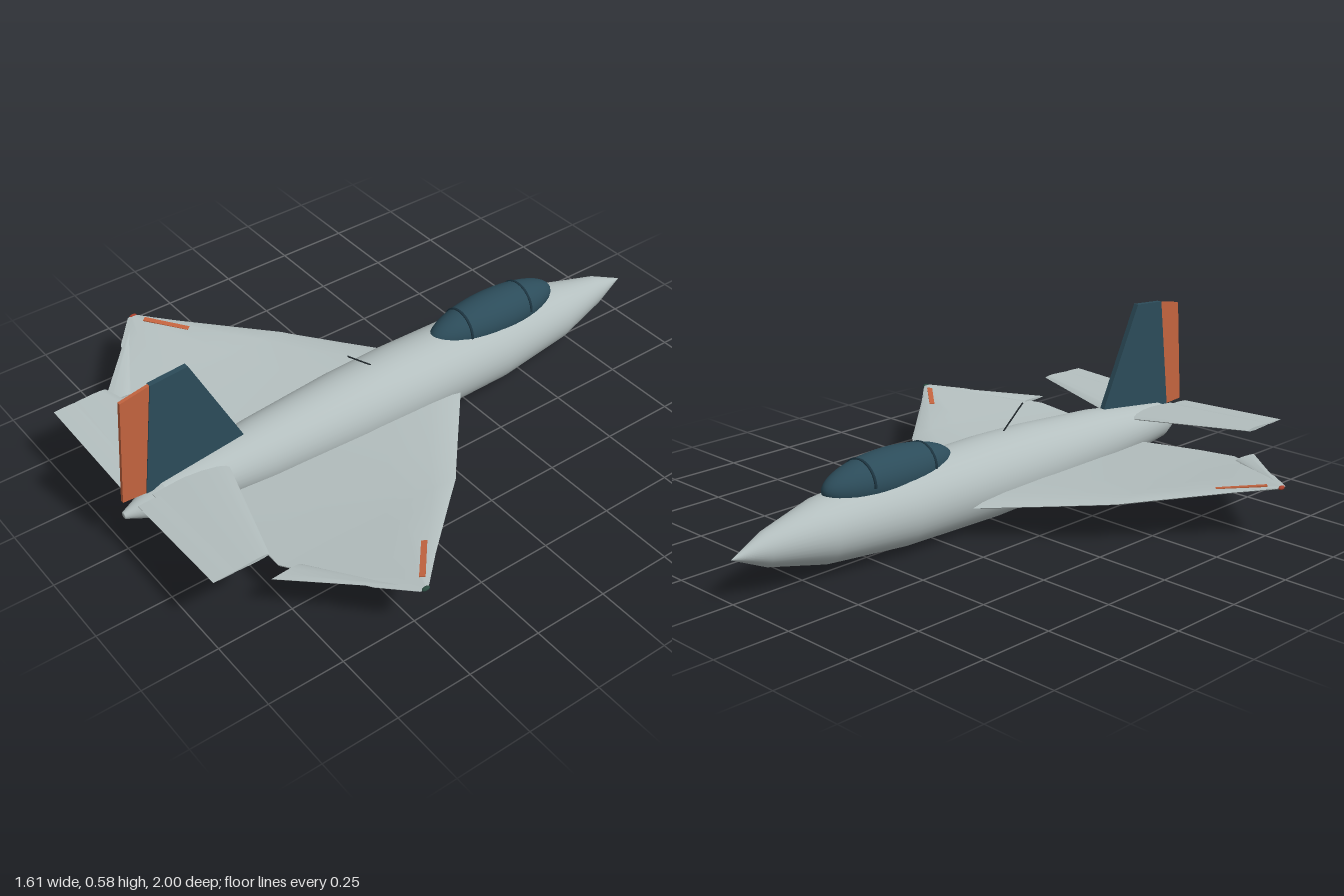
import * as THREE from 'three';
import { toCreasedNormals } from 'three/addons/utils/BufferGeometryUtils.js';

const paint = (color) => new THREE.MeshStandardMaterial({ color });
const hull = paint(0xb4bfbf), navy = paint(0x2c4c5a), orange = paint(0xc4643f), dark = paint(0x20272b);
const AXIS_Y = 0.135;

// Closed aerofoil outline: [fraction of chord, fraction of half thickness]
const AEROFOIL = [[0, 0], [0.04, 0.5], [0.15, 0.9], [0.35, 1], [0.7, 0.65], [1, 0.12],
  [1, -0.12], [0.7, -0.65], [0.35, -1], [0.15, -0.9], [0.04, -0.5]];

// Lofts the aerofoil through stations [x, zLeading, zTrailing, y, thickness]
function loft(stations, side) {
  const n = AEROFOIL.length, pos = [], idx = [];
  const tri = (a, b, c) => (side > 0 ? idx.push(a, b, c) : idx.push(a, c, b));
  for (const [x, z0, z1, y, t] of stations)
    for (const [c, h] of AEROFOIL) pos.push(side * x, y + h * t / 2, z0 + (z1 - z0) * c);
  for (let s = 0; s < stations.length - 1; s++)
    for (let i = 0; i < n; i++) {
      const a = s * n + i, b = s * n + (i + 1) % n;
      tri(a, b, a + n);
      tri(b, b + n, a + n);
    }
  const last = (stations.length - 1) * n;
  for (let i = 1; i < n - 1; i++) {
    tri(0, i + 1, i);
    tri(last, last + i, last + i + 1);
  }
  const g = new THREE.BufferGeometry();
  g.setAttribute('position', new THREE.Float32BufferAttribute(pos, 3));
  g.setIndex(idx);
  return toCreasedNormals(g, 0.6);
}

// Body along z from rings [radius, z, width factor]
function body(rings) {
  const g = new THREE.LatheGeometry(rings.map(([r, z]) => new THREE.Vector2(r, z)), 40)
    .rotateX(Math.PI / 2).translate(0, AXIS_Y, 0);
  const p = g.attributes.position;
  for (let i = 0; i < p.count; i++) p.setX(i, p.getX(i) * rings[i % rings.length][2]);
  return g;
}

// Upright plate from a (z, y) outline, centred on x = 0
function plate(points, thickness) {
  const shape = new THREE.Shape(points.map(([z, y]) => new THREE.Vector2(z, y)));
  return new THREE.ExtrudeGeometry(shape, { depth: thickness, bevelEnabled: false })
    .rotateY(-Math.PI / 2).translate(thickness / 2, 0, 0);
}

// Thin rod between two points
function rod(a, b, r) {
  return new THREE.TubeGeometry(new THREE.LineCurve3(new THREE.Vector3(...a), new THREE.Vector3(...b)), 1, r, 8);
}

export function createModel() {
  const model = new THREE.Group();
  const add = (name, geometry, material) => {
    const mesh = new THREE.Mesh(geometry, material);
    mesh.name = name;
    model.add(mesh);
    return mesh;
  };

  // Fuselage with the nose at -z, and tail cone
  add('fuselage', body([[0, -1, 1], [0.055, -0.88, 0.75], [0.102, -0.68, 0.95], [0.126, -0.39, 1.06],
    [0.135, 0, 1], [0.13, 0.2, 1], [0.108, 0.53, 1], [0.065, 0.87, 1]]), hull);
  add('tailCone', body([[0.065, 0.87, 1], [0.011, 1, 1], [0, 1, 1]]), hull);

  // Canopy with two frame hoops
  const canopy = { y: 0.245, z: -0.405, rx: 0.082, ry: 0.082, rz: 0.256 };
  add('canopy', new THREE.SphereGeometry(1, 40, 24).scale(canopy.rx, canopy.ry, canopy.rz)
    .translate(0, canopy.y, canopy.z), navy);
  for (const z of [-0.52, -0.27]) {
    const k = Math.sqrt(1 - ((z - canopy.z) / canopy.rz) ** 2);
    add('canopyFrame', new THREE.TorusGeometry(1, 0.05, 8, 32, Math.PI)
      .scale(canopy.rx * k, canopy.ry * k, 0.1).translate(0, canopy.y, z), paint(0x1c3440));
  }

  // Fin and rudder
  add('fin', plate([[0.57, 0.2], [0.922, 0.185], [0.872, 0.567], [0.745, 0.577], [0.58, 0.24]], 0.018), navy);
  add('rudder', plate([[0.92, 0.185], [1, 0.19], [0.97, 0.547], [0.87, 0.566]], 0.012), orange);

  // Mast aerial on the spine
  add('aerial', rod([0, 0.26, 0.085], [0, 0.343, 0.182], 0.0025), dark);

  for (const side of [1, -1]) {
    // Swept main wing with upturned tip
    add('wing', loft([
      [0.04, -0.255, 0.7, 0.102, 0.046], [0.13, -0.175, 0.72, 0.106, 0.042],
      [0.3, -0.025, 0.745, 0.117, 0.036], [0.44, 0.098, 0.75, 0.127, 0.03],
      [0.466, 0.12, 0.735, 0.13, 0.029], [0.52, 0.182, 0.7, 0.137, 0.025],
      [0.7, 0.385, 0.605, 0.16, 0.014], [0.8, 0.49, 0.52, 0.172, 0.008]], side), hull);

    // Aileron behind the outer trailing edge
    add('aileron', loft([[0.48, 0.7, 0.8, 0.135, 0.01], [0.7, 0.57, 0.597, 0.16, 0.006],
      [0.79, 0.505, 0.52, 0.171, 0.004]], side), hull);

    // Tailplane and elevator
    add('tailplane', loft([[0.03, 0.66, 0.915, 0.193, 0.022], [0.07, 0.67, 0.915, 0.195, 0.021],
      [0.46, 0.79, 0.915, 0.213, 0.011]], side), hull);
    add('elevator', loft([[0.05, 0.895, 0.975, 0.194, 0.008], [0.46, 0.895, 0.975, 0.213, 0.005]], side), hull);

    // Wing stripe and tip light
    const stripe = add('wingStripe', new THREE.BoxGeometry(0.158, 0.004, 0.018), orange);
    stripe.position.set(side * 0.7, 0.167, 0.43);
    stripe.rotation.set(0, -side * 0.7, side * 0.12, 'ZYX');
    const light = add('tipLight', new THREE.SphereGeometry(0.007, 12, 8),
      side > 0 ? paint(0x2b4a40) : paint(0xa8402c));
    light.scale.z = 2;
    light.position.set(side * 0.8, 0.172, 0.5);
  }
  return model;
}
